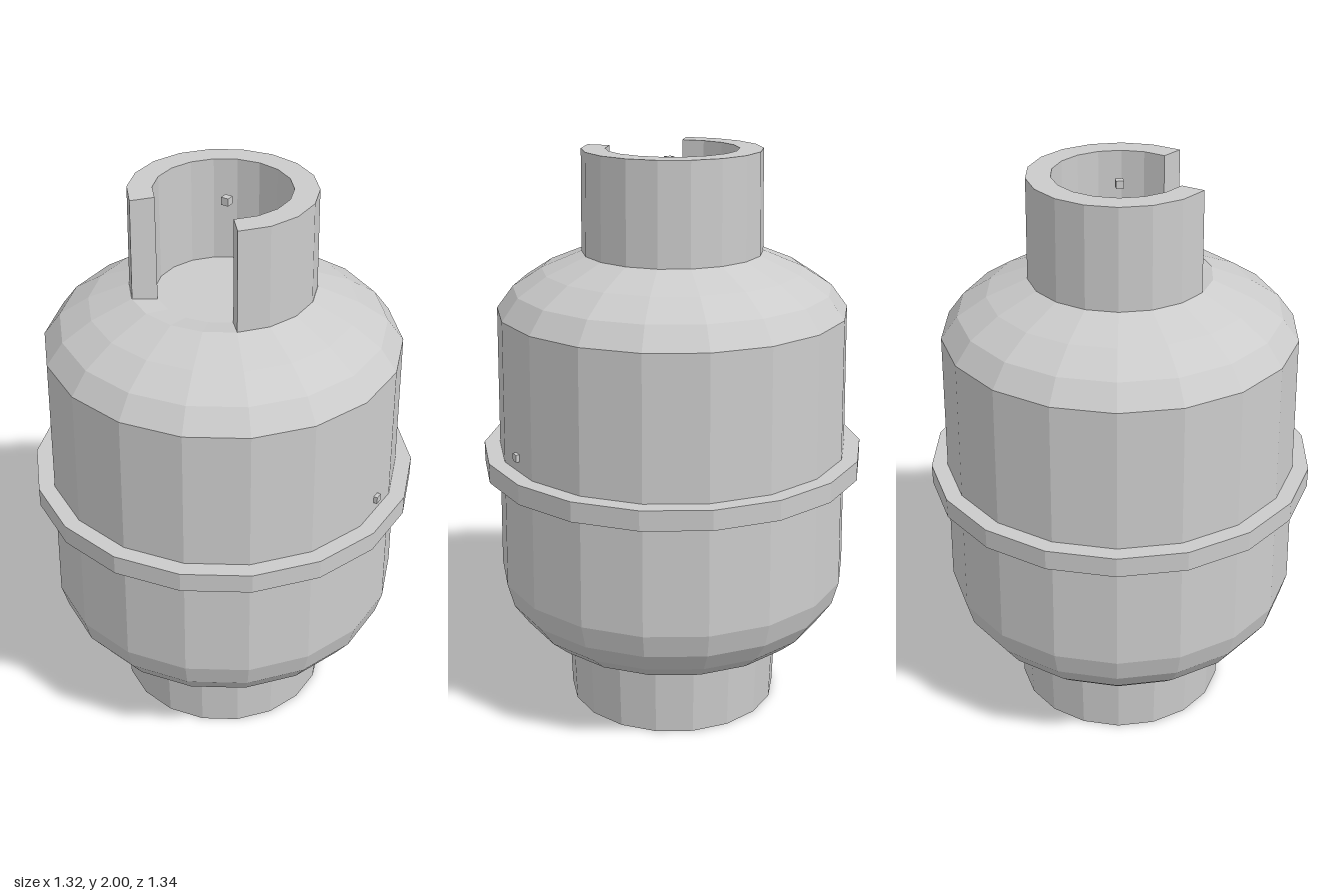
import * as THREE from 'three';

const SIDES = 18;
const material = new THREE.MeshStandardMaterial({ color: 0xcccccc, flatShading: true, side: THREE.DoubleSide });

const toPoints = (pairs) => pairs.map(([r, y]) => new THREE.Vector2(r, y));

function part(name, geometry, parent) {
  const mesh = new THREE.Mesh(geometry, material);
  mesh.name = name;
  parent.add(mesh);
  return mesh;
}

export function createModel() {
  const model = new THREE.Group();
  model.name = 'gasCylinder';

  // Foot with a recessed conical underside
  part('foot', new THREE.LatheGeometry(toPoints([
    [0, 0.19], [0.378, 0], [0.386, 0.25],
  ]), SIDES), model);

  // Tank: rounded bottom, slightly tapered wall, domed shoulder, sunken top
  part('tank', new THREE.LatheGeometry(toPoints([
    [0.386, 0.245], [0.49, 0.286], [0.55, 0.34], [0.602, 0.415], [0.625, 0.5],
    [0.607, 1.457], [0.55, 1.533], [0.45, 1.598], [0.312, 1.655],
    [0.225, 1.64], [0, 1.64],
  ]), SIDES), model);

  // Band around the middle
  part('band', new THREE.LatheGeometry(toPoints([
    [0.61, 0.895], [0.672, 0.895], [0.672, 0.965], [0.61, 0.965],
  ]), SIDES), model);

  // Valve collar, open over 80 degrees at the front
  const collar = new THREE.Group();
  collar.name = 'collar';
  model.add(collar);
  const profile = toPoints([[0.311, 1.65], [0.306, 2], [0.225, 2], [0.225, 1.635]]);
  const gap = THREE.MathUtils.degToRad(40);
  part('collarWall', new THREE.LatheGeometry(profile, 14, gap, Math.PI * 2 - 2 * gap), collar);
  for (const side of [1, -1]) {
    const end = new THREE.ShapeGeometry(new THREE.Shape(profile));
    end.rotateY(side * gap - Math.PI / 2);
    part(side > 0 ? 'collarEndLeft' : 'collarEndRight', end, collar);
  }

  // Small cubes: one inside the collar, one on the left wall
  part('collarMarker', new THREE.BoxGeometry(0.026, 0.026, 0.026), model).position.set(0.013, 1.96, 0);
  part('wallMarker', new THREE.BoxGeometry(0.022, 0.026, 0.026), model).position.set(0.608, 1.015, 0);

  return model;
}
